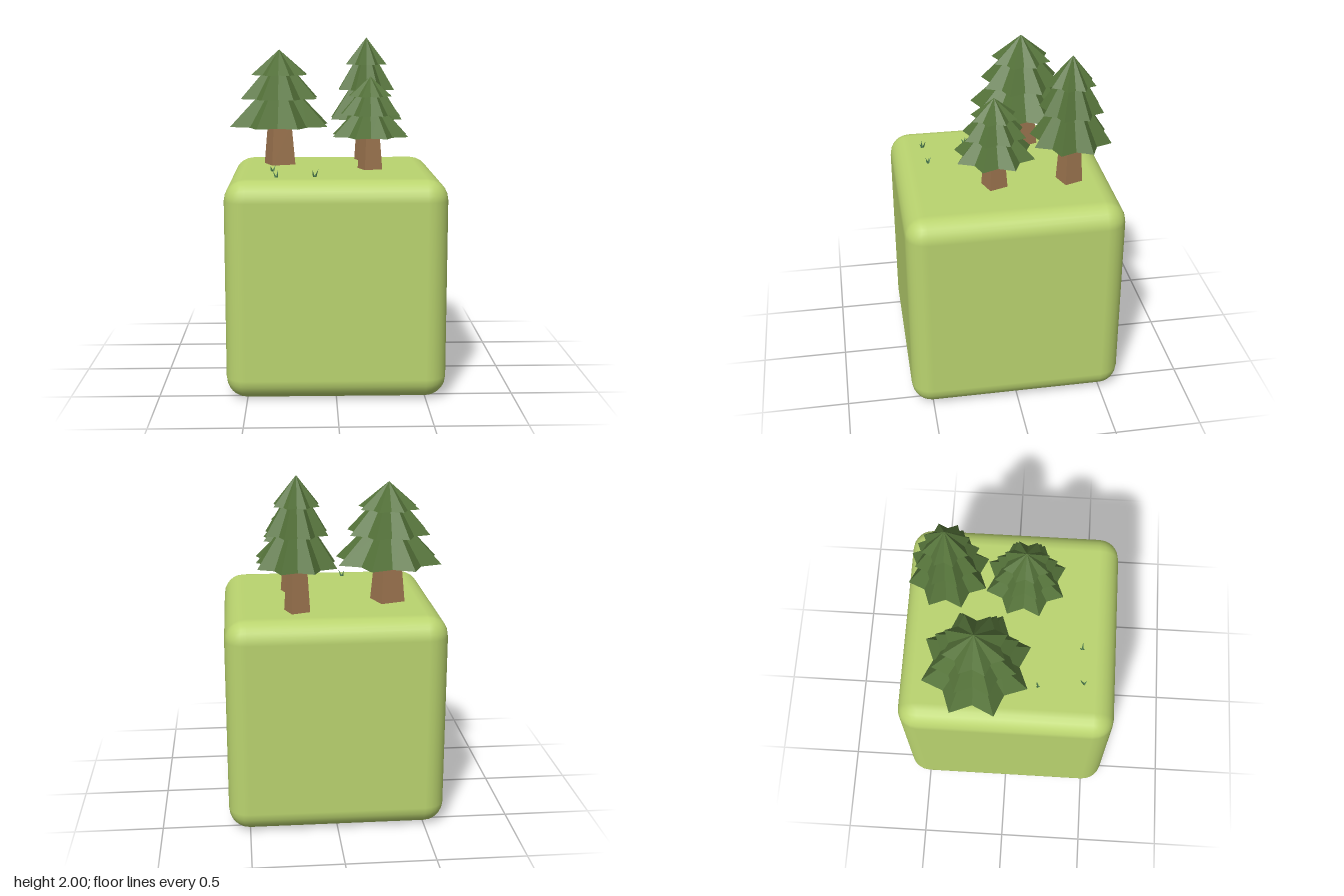
import * as THREE from 'three';
import { RoundedBoxGeometry } from 'three/addons/geometries/RoundedBoxGeometry.js';

const GROUND = 1.24;
const material = (color, flatShading) => new THREE.MeshStandardMaterial({ color, flatShading });
const leafMat = material(0x55733a, true);
const barkMat = material(0x9e7650, true);
const bladeMat = material(0x4f8050, true);
const blockMat = material(0xbad46f, false);

// Lofts [radius, y] rings upward; every second corner is pulled in by `valley`.
function loft(profile, corners, valley, turn) {
  const pos = [], index = [];
  for (const [r, y] of profile) {
    for (let j = 0; j < corners; j++) {
      const a = turn + (j / corners) * Math.PI * 2;
      const rr = j % 2 ? r * valley : r;
      pos.push(Math.cos(a) * rr, y, Math.sin(a) * rr);
    }
  }
  for (let i = 0; i < profile.length - 1; i++) {
    for (let j = 0; j < corners; j++) {
      const k = (j + 1) % corners;
      const a = i * corners + j, b = i * corners + k;
      const c = a + corners, d = b + corners;
      index.push(a, c, b, b, c, d);
    }
  }
  const geo = new THREE.BufferGeometry();
  geo.setAttribute('position', new THREE.Float32BufferAttribute(pos, 3));
  geo.setIndex(index);
  geo.computeVertexNormals();
  return geo;
}

function addMesh(parent, name, geo, mat) {
  const mesh = new THREE.Mesh(geo, mat);
  mesh.name = name;
  parent.add(mesh);
  return mesh;
}

// Three-tier pine with a star-shaped canopy and a square tapered trunk
function makeTree(x, z, radius, canopyY, topY) {
  const tree = new THREE.Group();
  tree.name = 'pineTree';
  const h = topY - canopyY, base = canopyY - GROUND;
  const tiers = [
    [0, 0], [1, 0], [0.48, 0.36],
    [0.78, 0.36], [0.37, 0.67],
    [0.57, 0.67], [0, 1],
  ].map(([r, y]) => [r * radius, base + y * h]);
  addMesh(tree, 'canopy', loft(tiers, 16, 0.755, 0.42), leafMat);
  const trunk = [[0, -0.01], [0.335 * radius, -0.01], [0.255 * radius, base + 0.01], [0, base + 0.01]];
  addMesh(tree, 'trunk', loft(trunk, 4, 1, 0.44), barkMat);
  tree.position.set(x, GROUND, z);
  return tree;
}

// Tuft of small blades leaning outward
function makeTuft(x, z, height, turn) {
  const tuft = new THREE.Group();
  tuft.name = 'grassTuft';
  [0, 2.1, 4.0].forEach((angle, i) => {
    const h = height * (1 - 0.15 * i);
    const geo = new THREE.ConeGeometry(0.007, h, 3);
    geo.translate(0, h / 2, 0);
    geo.rotateZ(-0.4);
    geo.translate(0.004, 0, 0);
    geo.rotateY(angle + turn);
    addMesh(tuft, 'blade', geo, bladeMat);
  });
  tuft.position.set(x, GROUND - 0.002, z);
  return tuft;
}

export function createModel() {
  const model = new THREE.Group();
  model.name = 'forestBlock';

  const block = addMesh(model, 'groundBlock', new RoundedBoxGeometry(GROUND, GROUND, GROUND, 3, 0.12), blockMat);
  block.position.y = GROUND / 2;

  model.add(
    makeTree(-0.325, -0.17, 0.315, 1.475, 1.93),
    makeTree(0.21, -0.36, 0.236, 1.5, 2),
    makeTree(0.21, 0.075, 0.236, 1.435, 1.78),
    makeTuft(-0.36, 0.175, 0.04, 0.4),
    makeTuft(-0.33, 0.435, 0.05, 1.2),
    makeTuft(-0.12, 0.42, 0.05, 0),
  );
  return model;
}
